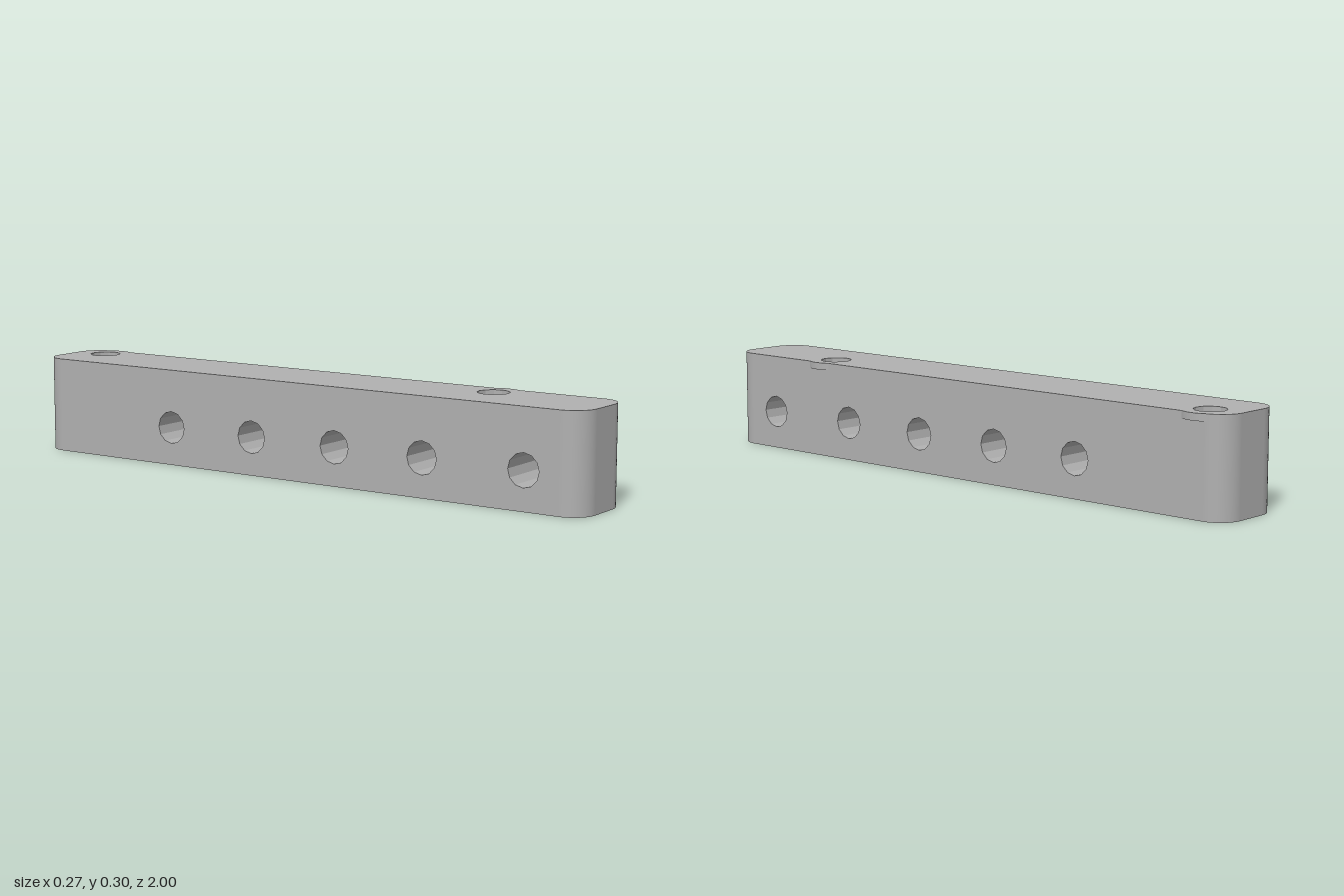
import * as THREE from 'three';

const X0 = -0.135, X1 = 0.123, H = 0.303, L = 1, R = 0.076;
const HOLE_SIDES = 12;
const sideHoles = [0.81, 0.47, 0.16, -0.15, -0.465]; // z positions
const SIDE_Y = 0.12, SIDE_R = 0.051;
const topHoles = [0.603, -0.892]; // z positions
const TOP_X = 0.047, TOP_R = 0.049, TAB_R = 0.087, TAB_H = 0.022;

// Polygonal hole outline, matching the bore facets
function holePath(cx, cy, r) {
  const pts = [];
  for (let i = 0; i < HOLE_SIDES; i++) {
    const a = -i / HOLE_SIDES * Math.PI * 2;
    pts.push(new THREE.Vector2(cx + r * Math.cos(a), cy + r * Math.sin(a)));
  }
  return new THREE.Path(pts);
}

// Inward-facing, faceted tube wall along y
function boreGeometry(r, length) {
  const g = new THREE.CylinderGeometry(r, r, length, HOLE_SIDES, 1, true);
  g.scale(1, 1, -1);
  const flat = g.toNonIndexed();
  flat.computeVertexNormals();
  return flat;
}

export function createModel() {
  const group = new THREE.Group();
  const grey = new THREE.MeshStandardMaterial({ color: 0xb0b0b0 });
  grey.name = 'grey';
  const add = (name, geometry, x = 0, y = 0, z = 0) => {
    const mesh = new THREE.Mesh(geometry, grey);
    mesh.name = name;
    mesh.position.set(x, y, z);
    group.add(mesh);
  };

  // Top and bottom faces: rounded footprint with the vertical holes
  const capGeometry = (s) => {
    const shape = new THREE.Shape();
    shape.absarc(X1 - R, L - R, R, 0, Math.PI / 2);
    shape.absarc(X0 + R, L - R, R, Math.PI / 2, Math.PI);
    shape.absarc(X0 + R, R - L, R, Math.PI, Math.PI * 1.5);
    shape.absarc(X1 - R, R - L, R, Math.PI * 1.5, Math.PI * 2);
    topHoles.forEach((z) => shape.holes.push(holePath(TOP_X, s * z, TOP_R)));
    return new THREE.ShapeGeometry(shape, 12).rotateX(s * Math.PI / 2);
  };
  add('topFace', capGeometry(-1), 0, H, 0);
  add('bottomFace', capGeometry(1));

  // Long side faces with the row of cross holes
  const sideGeometry = (s) => {
    const e = L - R;
    const shape = new THREE.Shape([[-e, 0], [e, 0], [e, H], [-e, H]].map((p) => new THREE.Vector2(...p)));
    sideHoles.forEach((z) => shape.holes.push(holePath(-s * z, SIDE_Y, SIDE_R)));
    return new THREE.ShapeGeometry(shape).rotateY(s * Math.PI / 2);
  };
  add('leftSide', sideGeometry(1), X1);
  add('rightSide', sideGeometry(-1), X0);

  // Flat end faces
  const endGeometry = () => new THREE.PlaneGeometry(X1 - X0 - 2 * R, H);
  add('frontEnd', endGeometry(), (X0 + X1) / 2, H / 2, L);
  add('backEnd', endGeometry().rotateY(Math.PI), (X0 + X1) / 2, H / 2, -L);

  // Rounded vertical corners
  [[X1 - R, L - R], [X1 - R, R - L], [X0 + R, R - L], [X0 + R, L - R]].forEach(([x, z], i) => {
    const g = new THREE.CylinderGeometry(R, R, H, 12, 1, true, i * Math.PI / 2, Math.PI / 2);
    add('roundedCorner', g, x, H / 2, z);
  });

  // Walls of the holes
  sideHoles.forEach((z) => add('crossHole',
    boreGeometry(SIDE_R, X1 - X0).rotateZ(Math.PI / 2), (X0 + X1) / 2, SIDE_Y, z));
  topHoles.forEach((z) => add('verticalHole', boreGeometry(TOP_R, H), TOP_X, H / 2, z));

  // Small curved lips beside the vertical holes, bulging out of the left side
  topHoles.forEach((z) => {
    const a = z < 0 ? 0.9 : 0.56;
    const shape = new THREE.Shape();
    shape.absarc(0, 0, TAB_R, -0.56, a);
    const g = new THREE.ExtrudeGeometry(shape, { depth: TAB_H, bevelEnabled: false, curveSegments: 10 });
    add('lip', g.rotateX(-Math.PI / 2), TOP_X, H - TAB_H, z);
  });

  return group;
}
